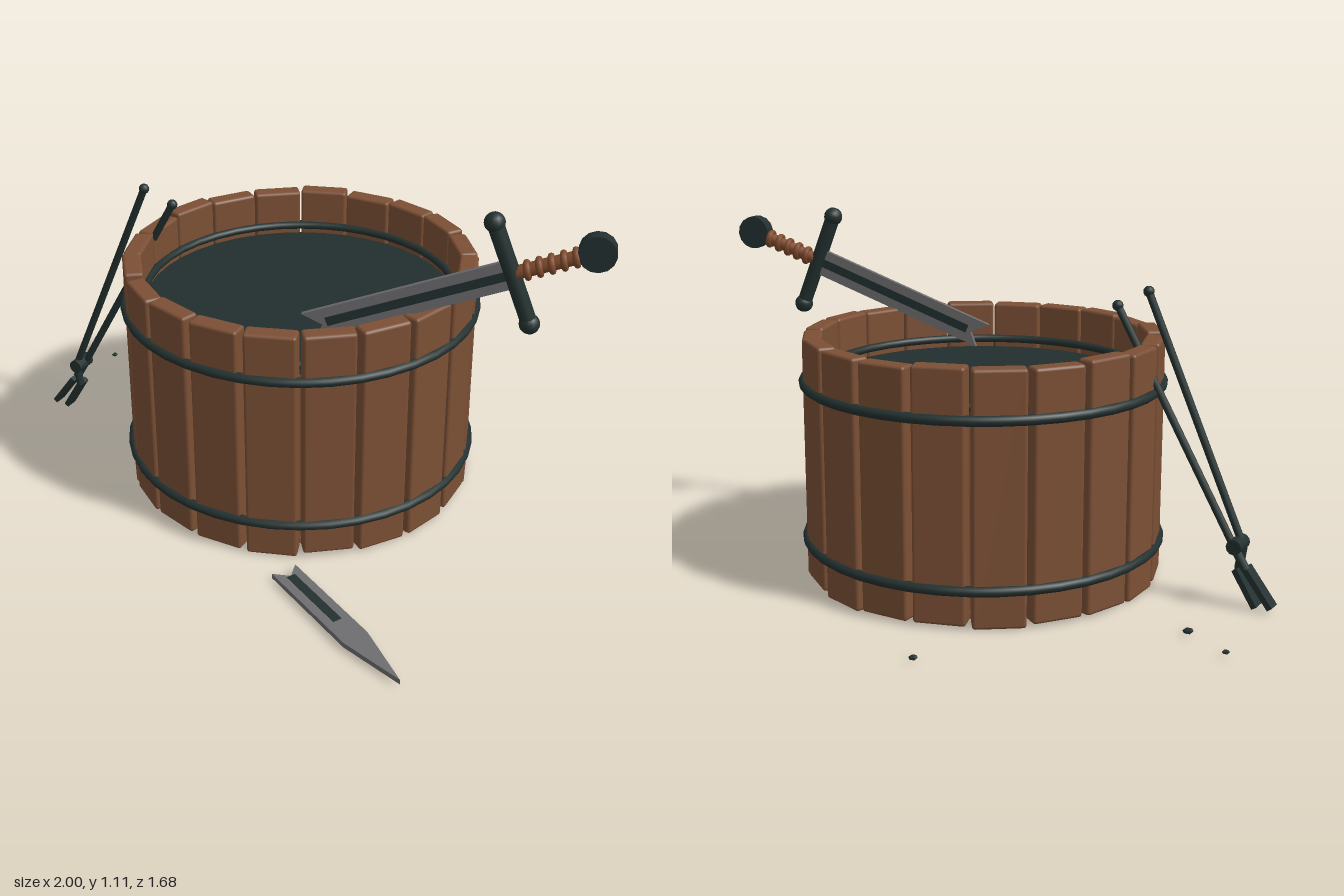
import * as THREE from 'three';
import { RoundedBoxGeometry } from 'three/addons/geometries/RoundedBoxGeometry.js';

const mat = (name, color) => Object.assign(new THREE.MeshStandardMaterial({ color }), { name });
const V = (x, y, z) => new THREE.Vector3(x, y, z);

export function createModel() {
  const model = new THREE.Group();
  const wood = mat('wood', 0x7c5035);
  const iron = mat('dark iron', 0x233130);
  const water = mat('dark water', 0x222e2e);
  const steel = mat('steel', 0x6e6e70);
  const leather = mat('leather', 0x7f4a2c);

  const add = (parent, name, geo, material, x = 0, y = 0, z = 0) => {
    const m = new THREE.Mesh(geo, material);
    m.name = name;
    m.position.set(x, y, z);
    parent.add(m);
    return m;
  };
  const group = (name, parent = model) => {
    const g = new THREE.Group();
    g.name = name;
    parent.add(g);
    return g;
  };
  // Place a mesh lengthwise (its y axis) between two points
  const between = (mesh, a, b) => {
    mesh.position.copy(a).add(b).multiplyScalar(0.5);
    mesh.quaternion.setFromUnitVectors(V(0, 1, 0), b.clone().sub(a).normalize());
    return mesh;
  };
  const rod = (parent, name, a, b, r, material) =>
    between(add(parent, name, new THREE.CylinderGeometry(r, r, a.distanceTo(b), 10), material), a, b);
  // Orient a group so local y follows 'along' and local z follows 'normal'
  const orient = (g, along, normal) => {
    const y = along.clone().normalize();
    const x = y.clone().cross(normal).normalize();
    g.quaternion.setFromRotationMatrix(new THREE.Matrix4().makeBasis(x, y, x.clone().cross(y)));
  };

  // Tub: ring of staves with slightly uneven heights
  const tub = group('tub');
  tub.position.set(-0.03, 0, -0.065);
  const STAVES = 20;
  for (let i = 0; i < STAVES; i++) {
    const a = (i / STAVES) * Math.PI * 2;
    const h = 0.766 + 0.006 * Math.sin(i * 2.3);
    const s = add(tub, 'stave', new RoundedBoxGeometry(0.159, h, 0.06, 2, 0.01), wood,
      Math.sin(a) * 0.535, 0.395 + 0.004 * Math.sin(i * 4.1), Math.cos(a) * 0.535);
    s.rotation.y = a;
  }
  // Hoops, inner ring, liner, water and floor
  const ring = (name, r, tube, y) => {
    add(tub, name, new THREE.TorusGeometry(r, tube, 10, 40), iron, 0, y, 0).rotation.x = Math.PI / 2;
  };
  ring('upperHoop', 0.566, 0.016, 0.63);
  ring('lowerHoop', 0.566, 0.016, 0.125);
  ring('innerRing', 0.503, 0.013, 0.655);
  add(tub, 'liner', new THREE.CylinderGeometry(0.507, 0.507, 0.6, 40, 1, true), wood, 0, 0.325, 0);
  add(tub, 'floor', new THREE.CylinderGeometry(0.515, 0.515, 0.02, 40), wood, 0, 0.03, 0);
  add(tub, 'waterSurface', new THREE.CylinderGeometry(0.503, 0.503, 0.02, 40), water, 0, 0.617, 0);

  // Flat steel outline extruded evenly about z = 0
  const plate = (pts) => {
    const geo = new THREE.ExtrudeGeometry(new THREE.Shape(pts.map(([x, y]) => new THREE.Vector2(x, y))),
      { depth: 0.016, bevelEnabled: false });
    return geo.translate(0, 0, -0.008);
  };

  // Broken sword, origin at the guard, blade along +y
  const sword = group('brokenSword');
  sword.position.set(0.72, 0.93, 0.07);
  const along = V(-0.79, -0.32, 0.21);
  orient(sword, along, along.clone().cross(V(-0.12, 0.32, 0.025)));
  add(sword, 'blade', plate([[-0.044, 0], [0.044, 0], [0.044, 0.63], [0.006, 0.595], [-0.044, 0.645]]), steel);
  add(sword, 'fuller', new THREE.BoxGeometry(0.028, 0.57, 0.02), iron, 0, 0.295, 0);
  add(sword, 'guard', new THREE.CylinderGeometry(0.025, 0.025, 0.33, 12), iron).rotation.z = Math.PI / 2;
  for (const s of [-1, 1])
    add(sword, 'guardKnob', new THREE.SphereGeometry(0.031, 14, 10), iron, s * 0.165, 0, 0);
  add(sword, 'grip', new THREE.CylinderGeometry(0.021, 0.021, 0.21, 12), leather, 0, -0.115, 0);
  for (let i = 0; i < 5; i++) {
    const wrap = add(sword, 'gripWrap', new THREE.TorusGeometry(0.022, 0.01, 8, 16), leather, 0, -0.045 - i * 0.036, 0);
    wrap.rotation.set(Math.PI / 2, 0.15, 0);
  }
  add(sword, 'pommel', new THREE.CylinderGeometry(0.055, 0.055, 0.045, 14), iron, 0, -0.25, 0).rotation.x = Math.PI / 2;

  // Broken-off blade tip lying on the ground
  const tip = group('bladeTip');
  tip.position.set(0.225, 0.023, 0.545);
  orient(tip, V(0.87, 0, 0.49), V(0, 1, 0));
  add(tip, 'tipBlade', plate([[-0.042, 0], [0, 0.04], [0.042, 0], [0.042, 0.375], [0, 0.585], [-0.042, 0.375]]), steel);
  add(tip, 'tipFuller', new THREE.BoxGeometry(0.028, 0.245, 0.02), iron, 0, 0.163, 0);

  // Tongs leaning on the rim
  const tongs = group('tongs');
  const Z = 0.012;
  const arms = [
    { z: Z + 0.012, path: [[-0.555, 0.935], [-0.885, 0.195], [-0.875, 0.12], [-0.937, 0.02]] },
    { z: Z - 0.012, path: [[-0.465, 0.888], [-0.865, 0.195], [-0.905, 0.13], [-0.985, 0.025]] },
  ];
  for (const { z, path } of arms) {
    const p = path.map(([x, y]) => V(x, y, z));
    rod(tongs, 'tongHandle', p[0], p[1], 0.012, iron);
    add(tongs, 'tongHandleEnd', new THREE.SphereGeometry(0.017, 12, 8), iron, p[0].x, p[0].y, z);
    rod(tongs, 'tongNeck', p[1], p[2], 0.014, iron);
    const a = p[2].setZ(Z), b = p[3].setZ(Z);
    between(add(tongs, 'tongJaw', new THREE.BoxGeometry(0.018, a.distanceTo(b) + 0.01, 0.045), iron), a, b);
  }
  add(tongs, 'tongPivot', new THREE.CylinderGeometry(0.024, 0.024, 0.075, 12), iron, -0.873, 0.2, Z).rotation.x = Math.PI / 2;

  // Small scattered scraps
  for (const [x, z, r] of [[-0.842, -0.275, 0.016], [-0.99, -0.358, 0.011], [-0.272, -0.835, 0.013]])
    add(model, 'scrap', new THREE.DodecahedronGeometry(r), iron, x, 0.02, z).scale.y = 0.6;

  return model;
}
